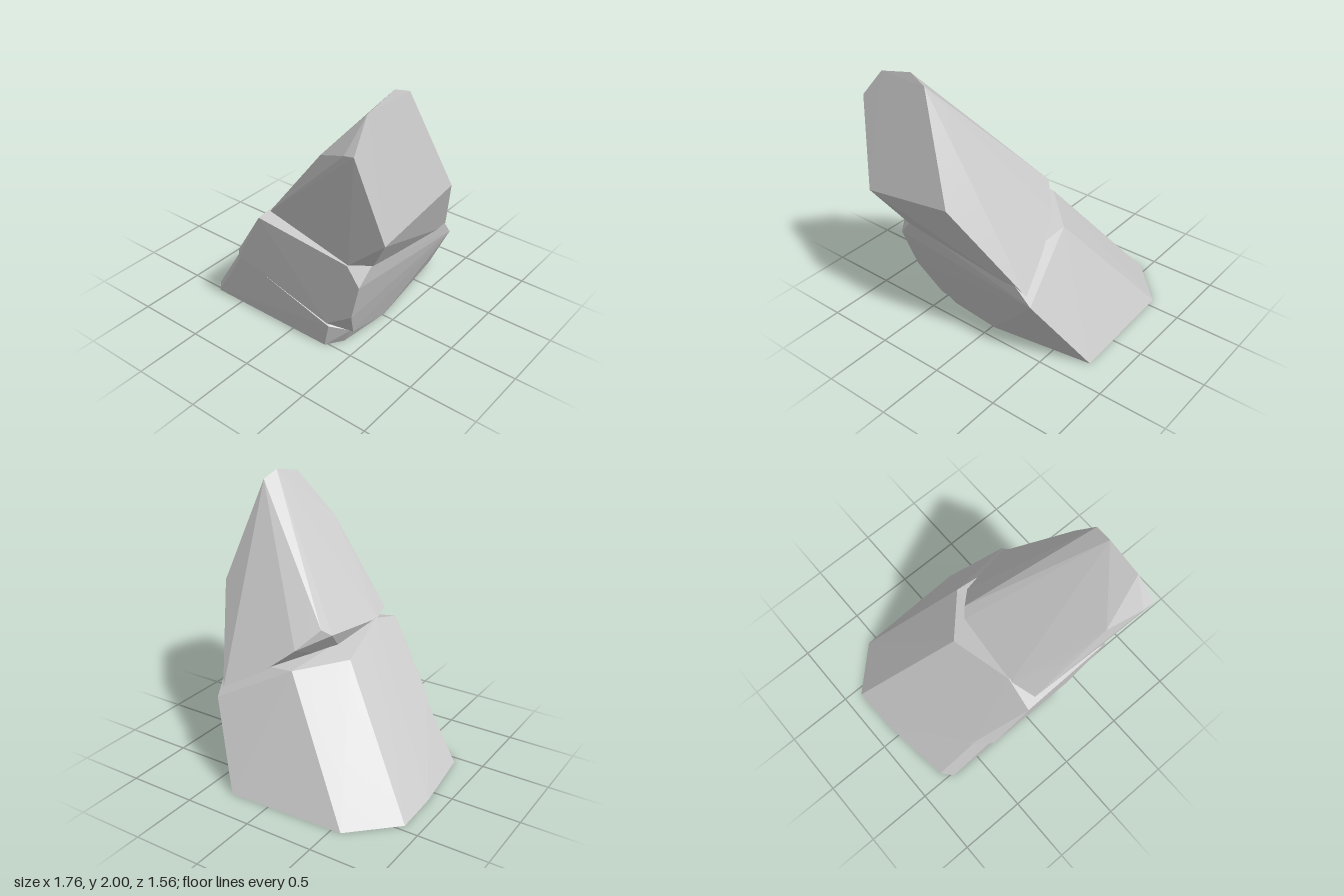
import * as THREE from 'three';
import { ConvexGeometry } from 'three/addons/geometries/ConvexGeometry.js';

const stone = new THREE.MeshStandardMaterial({ color: 0xcccccc, flatShading: true, side: THREE.DoubleSide });

// Corner points of the three faceted blocks
const blocks = {
  // Front foot, set back a little under the middle block
  footSlab: [
    [-0.87, 0, -0.1], [-0.82, 0, 0], [-0.8, 0, 0.44], [-0.73, 0, 0.52],
    [0.29, 0, 0.52], [0.37, 0, 0.4], [0.41, 0, -0.02],
    [-0.62, 0.3, 0.2], [-0.52, 0.41, 0.5], [-0.42, 0.47, 0.58],
    [0.35, 0.21, 0.55], [0.45, 0.15, 0.43], [0.3, 0.4, 0],
  ],
  // Middle block: back of the base up to the crevice
  middleBlock: [
    [-0.88, 0, -0.45], [-0.57, 0, -0.75], [0.3, 0, -0.78], [0.41, 0, -0.02], [-0.87, 0, -0.1],
    [-0.6, 0.34, 0.2], [-0.52, 0.45, 0.5], [-0.41, 0.5, 0.61],
    [0.35, 0.25, 0.57], [0.47, 0.15, 0.43], [0.56, 0.4, 0.57],
    [0.62, 0.55, -0.51], [0.65, 0.77, -0.33], [0.65, 0.7, 0.61], [0.67, 0.83, 0.5],
    [0.57, 0.85, 0.63], [-0.15, 0.94, 0.66], [-0.12, 1.0, 0.42],
    [-0.21, 0.88, -0.07], [0.07, 0.84, -0.37],
  ],
  // Upper block, leaning out over the right side; its back runs on into the middle block
  upperBlock: [
    [-0.08, 1.04, -0.1], [-0.03, 1.09, -0.16], [0.1, 0.95, -0.29], [-0.12, 0.99, 0.44], [-0.07, 1.01, 0.63],
    [0, 0.75, 0.2], [0.43, 0.68, -0.43], [0.6, 0.6, -0.47],
    [0.57, 0.85, 0.62], [0.68, 0.83, 0.5], [0.68, 0.83, 0.24], [0.64, 0.84, -0.31],
    [0.87, 1.13, 0.65], [0.88, 1.24, -0.05],
    [0.18, 1.33, 0.64], [0.42, 1.62, 0.7], [0.57, 1.7, 0.73], [0.65, 1.72, 0.77], [0.73, 1.74, 0.78],
    [0.7, 1.94, 0.62], [0.7, 2.0, 0.36], [0.72, 1.95, 0.23],
  ],
};

// Hull triangles of a block
function hull(corners) {
  const p = new ConvexGeometry(corners.map((c) => new THREE.Vector3(...c))).attributes.position;
  const tris = [];
  for (let i = 0; i < p.count; i += 3) {
    tris.push(new THREE.Triangle(...[0, 1, 2].map((k) => new THREE.Vector3().fromBufferAttribute(p, i + k))));
  }
  return tris;
}

// Split a triangle in four, level by level
function split({ a, b, c }, level) {
  if (level === 0) return [new THREE.Triangle(a, b, c)];
  const [ab, bc, ca] = [[a, b], [b, c], [c, a]].map(([p, q]) => p.clone().lerp(q, 0.5));
  return [[a, ab, ca], [ab, b, bc], [ca, bc, c], [ab, bc, ca]]
    .flatMap((t) => split(new THREE.Triangle(...t), level - 1));
}

export function createModel() {
  const rock = new THREE.Group();
  rock.name = 'leaningRock';
  const hulls = Object.values(blocks).map(hull);
  const planes = hulls.map((tris) => tris.map((t) => t.getPlane(new THREE.Plane())));

  Object.keys(blocks).forEach((name, i) => {
    const others = planes.filter((_, j) => j !== i);
    // Hollow shell: leave the bottom open and drop what is buried in another block
    const shell = hulls[i]
      .filter((t) => Math.max(t.a.y, t.b.y, t.c.y) > 0.001)
      .flatMap((t) => split(t, 4))
      .filter((t) => !others.some((faces) => faces.every((f) =>
        [t.a, t.b, t.c].every((v) => f.distanceToPoint(v) < -0.001))));
    const geometry = new THREE.BufferGeometry().setFromPoints(shell.flatMap((t) => [t.a, t.b, t.c]));
    geometry.computeVertexNormals();
    const mesh = new THREE.Mesh(geometry, stone);
    mesh.name = name;
    rock.add(mesh);
  });

  return rock;
}
